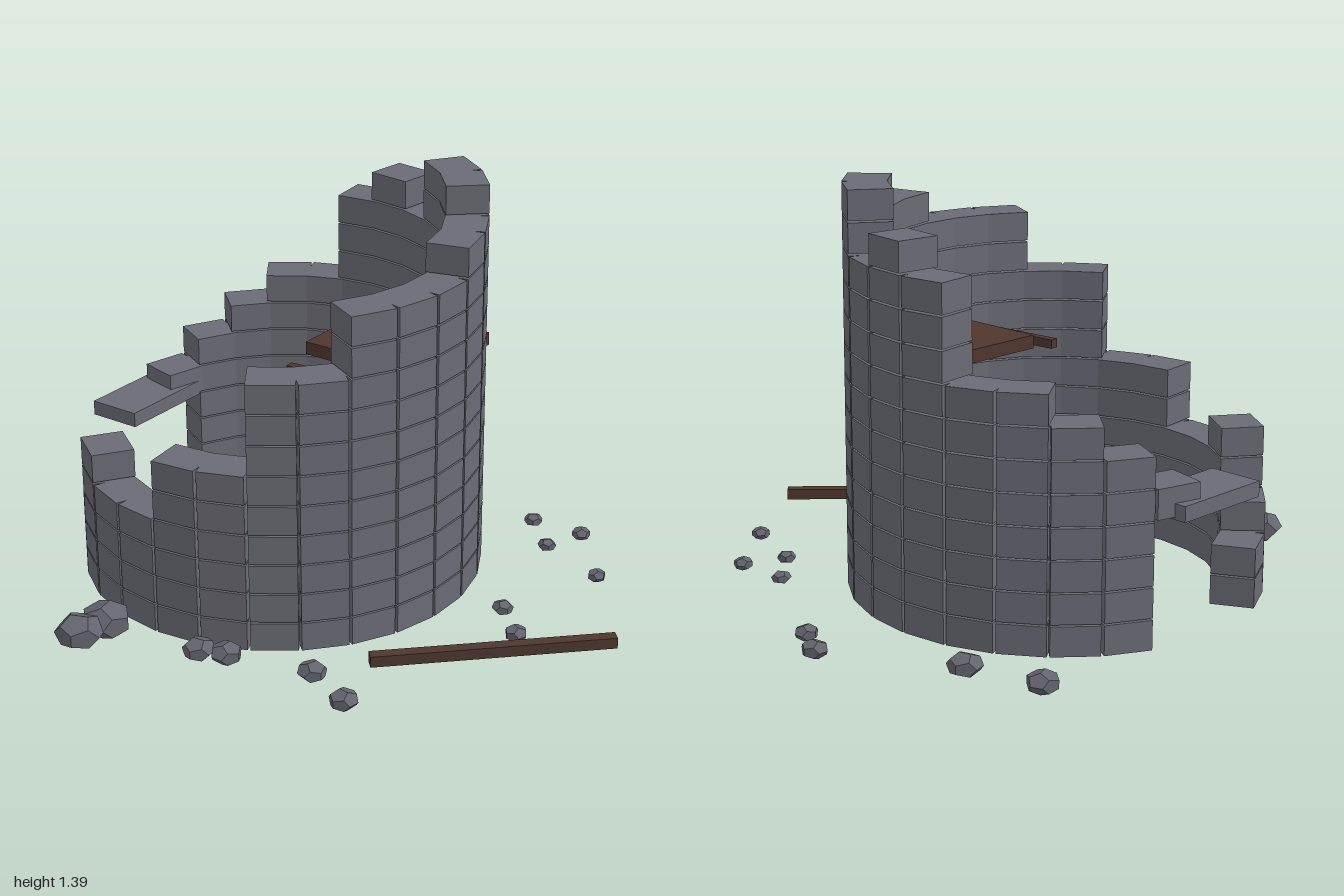
import * as THREE from 'three';

export function createModel() {
  const model = new THREE.Group();
  model.name = 'ruinedTower';

  const makeMat = (name, color) => {
    const m = new THREE.MeshStandardMaterial({ color });
    m.name = name;
    return m;
  };
  const stone = makeMat('wall stone', 0x6b6b75);
  const rubbleStone = makeMat('rubble stone', 0x64646e);
  const wood = makeMat('old wood', 0x4e372e);

  const add = (parent, name, geo, mat, x, y, z, ry = 0, rz = 0) => {
    const mesh = new THREE.Mesh(geo, mat);
    mesh.name = name;
    mesh.position.set(x, y, z);
    mesh.rotation.set(0, ry, rz);
    parent.add(mesh);
    return mesh;
  };
  const box = (w, h, d) => new THREE.BoxGeometry(w, h, d);

  // Ring wall: number of courses in each column, counted from +x round by the back
  const heights = [11, 12, 12, 13, 13, 11, 12, 11, 8, 8, 7, 6, 5,
    0, 0, 2, 3, 5, 4, 4, 6, 6, 9, 9, 11, 11];
  const doorColumn = 12, doorCourses = 4; // this column only survives above the door
  const cx = -0.295, cz = 0.055, midRadius = 0.615;
  const base = 0.036, course = 0.1045;
  const block = box(0.145, course - 0.006, 0.157);
  const wall = new THREE.Group();
  wall.name = 'wall';
  model.add(wall);
  heights.forEach((count, k) => {
    const a = (k / heights.length) * Math.PI * 2;
    const column = new THREE.Group();
    column.name = 'wallColumn';
    column.position.set(cx + midRadius * Math.cos(a), base, cz - midRadius * Math.sin(a));
    column.rotation.y = a;
    wall.add(column);
    for (let row = k === doorColumn ? doorCourses : 0; row < count; row++) {
      add(column, 'wallBlock', block, stone, 0, (row + 0.5) * course, 0);
    }
  });

  // Slab over the doorway
  add(model, 'doorLintel', box(0.19, 0.052, 0.36), stone, -0.905, 0.475, cz);

  // Remains of the upper floor
  add(model, 'floorPlatform', box(0.455, 0.045, 0.425), wood, 0.0375, 0.838, -0.1575);
  add(model, 'floorBeam', box(0.48, 0.03, 0.03), wood, 0.064, 0.808, 0.15, 0.085);

  // Fallen beam on the ground
  add(model, 'fallenBeam', box(0.81, 0.038, 0.04), wood, 0.695, 0.067, 0.247, 0.78, -0.008);

  // Scattered rubble: x, z, radius
  const rubble = [
    [-0.24, -0.955, 0.045], [-0.12, -0.885, 0.04], [-0.65, -0.715, 0.058], [-0.905, -0.645, 0.055],
    [0.315, -0.625, 0.034], [0.51, -0.63, 0.034], [0.455, -0.485, 0.033], [0.71, -0.39, 0.033],
    [0.565, 0.015 - 0.03, 0.037], [0.69, 0.105, 0.04], [0.29, 0.68, 0.05], [0.47, 0.76, 0.05],
    [0, 0.75, 0.055], [-0.09, 0.78, 0.056], [-0.46, 0.81, 0.088], [-0.48, 0.915, 0.085],
  ];
  const rock = new THREE.DodecahedronGeometry(1, 0);
  const pile = new THREE.Group();
  pile.name = 'rubble';
  model.add(pile);
  rubble.forEach(([x, z, r], i) => {
    add(pile, 'rubbleStone', rock, rubbleStone, x, 0.06, z, i * 1.7).scale.set(r, r * 0.68, r);
  });

  return model;
}
